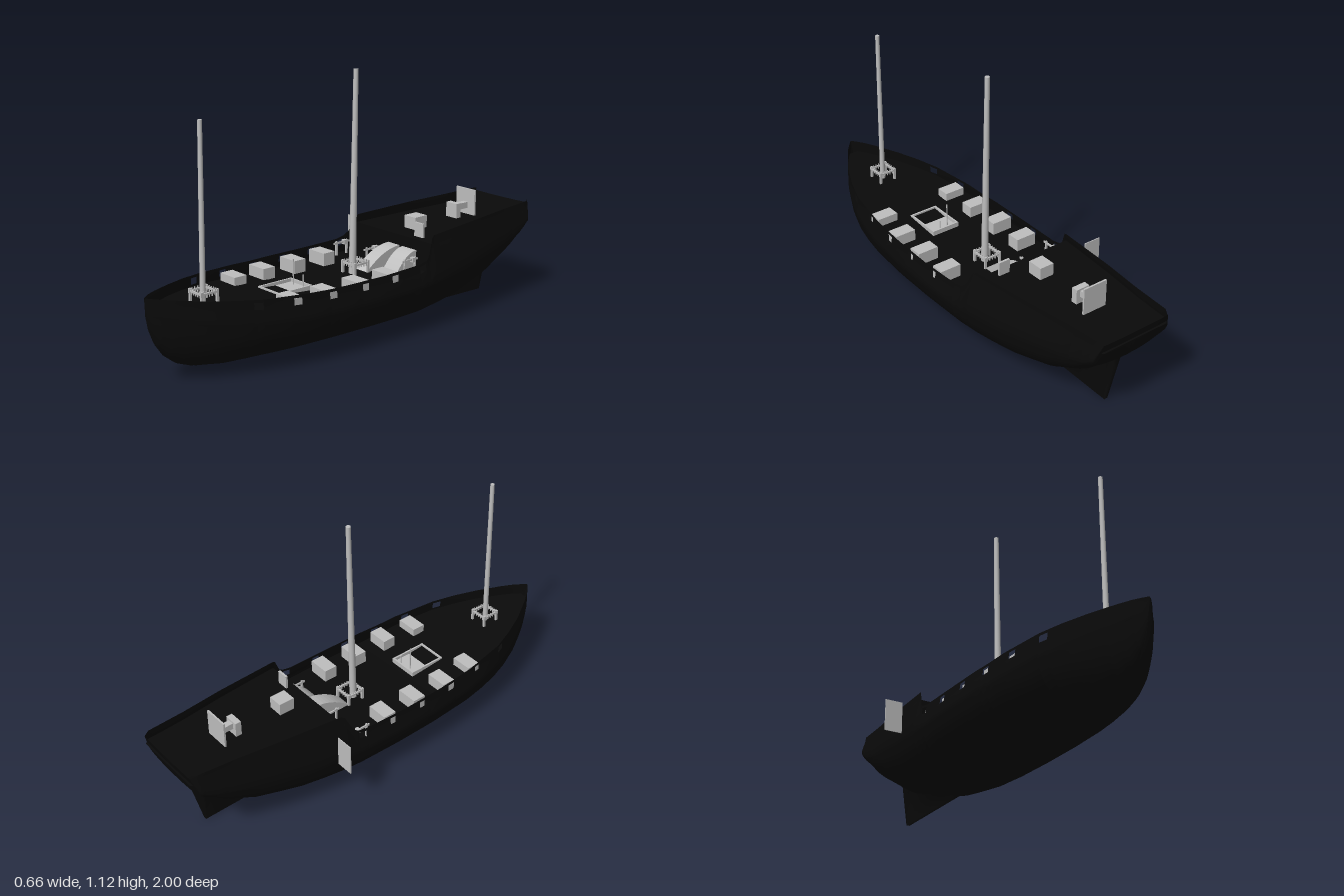
import * as THREE from 'three';

const black = new THREE.MeshStandardMaterial({ color: 0x0a0a0a, side: THREE.DoubleSide });
black.name = 'hull black';
const grey = new THREE.MeshStandardMaterial({ color: 0xbfbfbf, side: THREE.DoubleSide });
grey.name = 'fitting grey';

const CX = 0.04; // centreline of the ship

// Linear lookup in a list of [z, value] pairs with rising z
function at(table, z) {
  for (let i = 1; i < table.length; i++) {
    const [z0, a] = table[i - 1], [z1, b] = table[i];
    if (z <= z1) return a + (b - a) * Math.max(0, (z - z0) / (z1 - z0));
  }
  return table[table.length - 1][1];
}

// Hull lines along z: keel, top of keel fin, widest height, half beam, sheer, half width at sheer
const KEEL = [[-1, 0.42], [-0.975, 0.315], [-0.955, 0.282], [-0.92, 0.26], [-0.855, 0], [0, 0.017], [0.7, 0.027],
  [0.8, 0.042], [0.87, 0.07], [0.92, 0.11], [0.955, 0.16], [0.98, 0.22], [0.993, 0.28], [1, 0.355]];
const FIN = [[-1, 0.42], [-0.975, 0.315], [-0.955, 0.283], [-0.92, 0.262], [-0.855, 0.19], [-0.7, 0.1], [-0.5, 0.045],
  [-0.3, 0.022], [0, 0.025], [0.7, 0.033], [0.8, 0.047], [0.87, 0.075], [0.92, 0.115], [0.955, 0.165],
  [0.98, 0.225], [0.993, 0.285], [1, 0.356]];
const WIDEST = [[-1, 0.424], [-0.975, 0.345], [-0.92, 0.31], [-0.8, 0.275], [-0.5, 0.225], [-0.2, 0.2], [0.4, 0.2],
  [0.7, 0.225], [0.9, 0.26], [0.98, 0.29], [1, 0.357]];
const BEAM = [[-1, 0.16], [-0.975, 0.187], [-0.9, 0.195], [-0.8, 0.207], [-0.6, 0.238], [-0.4, 0.264], [-0.2, 0.279],
  [0, 0.284], [0.2, 0.28], [0.4, 0.264], [0.5, 0.249], [0.6, 0.226], [0.7, 0.189], [0.8, 0.142], [0.9, 0.082],
  [0.95, 0.048], [0.98, 0.022], [1, 0.001]];
const SHEER = [[-1, 0.434], [-0.6, 0.422], [-0.31, 0.41], [-0.295, 0.4], [-0.265, 0.335], [-0.245, 0.318], [-0.2, 0.308],
  [0, 0.304], [0.3, 0.307], [0.6, 0.322], [0.8, 0.338], [1, 0.361]];
const TOP = [[-1, 0.155], [-0.975, 0.172], [-0.8, 0.186], [-0.6, 0.21], [-0.31, 0.236], [-0.25, 0.262], [0, 0.268],
  [0.2, 0.265], [0.4, 0.252], [0.6, 0.22], [0.7, 0.185], [0.8, 0.14], [0.9, 0.081], [0.95, 0.047], [0.98, 0.021], [1, 0.001]];

const PORTS = [0.62, 0.45, 0.28, 0.11, -0.055, -0.22];
const BREAK = -0.305; // step between main deck and quarterdeck
const PORT_ROW = 12;

// Half cross-section from keel to sheer
function halfSection(z) {
  const [k, f, yb, b, ys, w] = [KEEL, FIN, WIDEST, BEAM, SHEER, TOP].map(t => at(t, z));
  const kw = Math.min(0.008, b), pts = [[kw, k], [kw, f]];
  for (let i = 1; i <= 8; i++) {
    const a = i / 8 * Math.PI / 2;
    pts.push([kw + (b - kw) * Math.pow(Math.sin(a), 0.95), f + (yb - f) * (1 - Math.cos(a))]);
  }
  const wale = Math.min(0.003, b * 0.05);
  const side = y => [b + (w - b) * (y - yb) / Math.max(ys - yb, 1e-4), y];
  const up = d => Math.max(yb, ys - d);
  pts.push([b + wale, yb + (up(0.04) - yb) * 0.05], [b + wale, yb + (up(0.04) - yb) * 0.4]);
  pts.push(side(up(0.04)), side(up(0.012)), side(ys));
  return pts;
}

// Surface through rows of points; skip(i, j) leaves a cell open
function loft(rows, skip = () => false) {
  const n = rows[0].length, idx = [];
  for (let i = 0; i < rows.length - 1; i++) for (let j = 0; j < n - 1; j++) {
    if (skip(i, j)) continue;
    const a = i * n + j, c = a + n;
    idx.push(a, a + 1, c, a + 1, c + 1, c);
  }
  const g = new THREE.BufferGeometry();
  g.setAttribute('position', new THREE.Float32BufferAttribute(rows.flat(2), 3));
  g.setIndex(idx);
  g.computeVertexNormals();
  return g;
}

function deckRow(z, y) {
  const yb = at(WIDEST, z), ys = at(SHEER, z), b = at(BEAM, z);
  const t = Math.min(1, Math.max(0, (y - yb) / (ys - yb)));
  const w = b + (at(TOP, z) - b) * t - 0.0005;
  return [[-w, y, z], [w, y, z]];
}
const mainDeckY = z => z > 0.2 ? 0.24 + (z - 0.2) * 0.085 : 0.24;

export function createModel() {
  const ship = new THREE.Group();
  ship.name = 'ship';
  const add = (name, geo, mat = grey, x = 0, y = 0, z = 0) => {
    const m = new THREE.Mesh(geo, mat);
    m.name = name;
    m.position.set(x, y, z);
    ship.add(m);
    return m;
  };
  // Box given by its limits; x is measured from the centreline
  const box = (name, x0, x1, y0, y1, z0, z1, mat = grey) =>
    add(name, new THREE.BoxGeometry(x1 - x0, y1 - y0, z1 - z0), mat, (x0 + x1) / 2, (y0 + y1) / 2, (z0 + z1) / 2);

  // Hull with open gun ports
  const zs = new Set([KEEL, BEAM, SHEER].flatMap(t => t.map(p => p[0])));
  for (let z = -0.95; z < 0.96; z += 0.05) zs.add(+z.toFixed(3));
  const inPort = z => PORTS.some(c => Math.abs(z - c) < 0.0175);
  const stations = [...zs].filter(z => !inPort(z));
  PORTS.forEach(c => stations.push(c - 0.018, c + 0.018));
  stations.sort((a, b) => a - b);
  const rows = stations.map(z => {
    const h = halfSection(z);
    return [...h.map(([x, y]) => [-x, y, z]).reverse(), ...h.map(([x, y]) => [x, y, z])];
  });
  const half = rows[0].length / 2;
  add('hull', loft(rows, (i, j) =>
    inPort((stations[i] + stations[i + 1]) / 2) && (j === half + PORT_ROW || j === half - 2 - PORT_ROW)), black);

  // Decks and the bulkhead between them
  const main = stations.filter(z => z > BREAK && z < 0.985);
  add('mainDeck', loft([BREAK, ...main].map(z => deckRow(z, mainDeckY(z)))), black);
  const quarterY = z => Math.min(at(SHEER, z) - 0.002, 0.372 - (z + 0.3) * 0.02);
  const aft = stations.filter(z => z < BREAK);
  add('quarterDeck', loft([...aft, BREAK].map(z => deckRow(z, quarterY(z)))), black);
  add('bulkhead', loft([deckRow(BREAK, mainDeckY(BREAK)), deckRow(BREAK, quarterY(BREAK))]), black);

  // Masts, raked slightly aft
  const mast = (name, z0, z1, y0, y1, r0, r1) => {
    const m = add(name, new THREE.CylinderGeometry(r1, r0, y1 - y0, 16), grey, 0, (y0 + y1) / 2, (z0 + z1) / 2);
    m.rotation.x = Math.atan2(z1 - z0, y1 - y0);
  };
  mast('foreMast', 0.73, 0.724, 0.27, 1.01, 0.012, 0.0095);
  mast('mainMast', -0.058, -0.075, 0.235, 1.12, 0.016, 0.0105);

  // Square pin rails around the masts
  for (const z of [0.725, -0.075]) {
    const y = mainDeckY(z), t = y + 0.05;
    for (const s of [-1, 1]) {
      box('pinRailSide', s * 0.038 - 0.004, s * 0.038 + 0.004, t - 0.008, t, z - 0.042, z + 0.042);
      box('pinRailEnd', -0.042, 0.042, t - 0.008, t, z + s * 0.038 - 0.004, z + s * 0.038 + 0.004);
      for (const q of [-1, 1])
        box('pinRailPost', s * 0.038 - 0.005, s * 0.038 + 0.005, y, t + 0.006, z + q * 0.038 - 0.005, z + q * 0.038 + 0.005);
      for (let i = -2; i <= 2; i++) {
        const p = i * 0.014;
        box('pin', s * 0.038 - 0.002, s * 0.038 + 0.002, t - 0.018, t + 0.008, z + p - 0.002, z + p + 0.002);
        box('pin', p - 0.002, p + 0.002, t - 0.018, t + 0.008, z + s * 0.038 - 0.002, z + s * 0.038 + 0.002);
      }
    }
  }

  // Gun blocks along both sides
  for (const s of [-1, 1]) for (const [z, x] of [[0.44, 0.184], [0.277, 0.2], [0.107, 0.2], [-0.06, 0.202]])
    box('gunBlock', s * x - 0.049, s * x + 0.049, mainDeckY(z), 0.297, z - 0.031, z + 0.031);

  // Cargo hatch: cover, raised frame and two thin posts
  box('hatchCover', -0.066, 0.066, 0.238, 0.25, 0.228, 0.4);
  for (const s of [-1, 1]) {
    box('hatchSide', s * 0.064 - 0.004, s * 0.064 + 0.004, 0.238, 0.264, 0.226, 0.402);
    box('hatchEnd', -0.066, 0.066, 0.238, 0.264, 0.314 + s * 0.084 - 0.004, 0.314 + s * 0.084 + 0.004);
  }
  box('hatchPost', -0.026, -0.022, 0.24, 0.36, 0.248, 0.252);
  box('hatchPost', 0.022, 0.026, 0.24, 0.3, 0.235, 0.239);

  // Curved ramps up to the quarterdeck
  const ramp = (name, x0, x1, zLow, zHigh, top) => {
    const s = new THREE.Shape();
    s.moveTo(-zLow, 0.24);
    s.quadraticCurveTo(-zLow - (zHigh - zLow) * 0.5, top, -zHigh, top);
    s.lineTo(-zHigh, 0.24);
    const g = new THREE.ExtrudeGeometry(s, { depth: x1 - x0, bevelEnabled: false, curveSegments: 10 });
    g.rotateY(Math.PI / 2);
    add(name, g, grey, x0, 0, 0);
  };
  ramp('centreRamp', -0.035, 0.035, -0.11, -0.303, 0.325);
  ramp('sideRamp', 0.055, 0.14, -0.185, -0.303, 0.325);

  // Small deck stands near the break
  for (const [x, z] of [[-0.24, -0.21], [-0.08, -0.245], [0.16, -0.245]]) {
    box('standBar', x - 0.003, x + 0.003, 0.292, 0.3, z - 0.045, z + 0.045);
    for (const s of [-1, 1]) box('standPost', x - 0.004, x + 0.004, 0.24, 0.305, z + s * 0.03 - 0.004, z + s * 0.03 + 0.004);
    box('standHead', x - 0.01, x + 0.01, 0.285, 0.305, z - 0.025, z - 0.01);
  }

  // Quarterdeck fittings
  box('skylight', -0.034, 0.034, 0.372, 0.43, -0.472, -0.4);
  box('helmPanel', -0.057, 0.057, 0.377, 0.5, -0.764, -0.756);
  box('helmShaft', -0.014, 0.014, 0.41, 0.438, -0.757, -0.688);
  box('helmBox', -0.032, 0.032, 0.378, 0.446, -0.692, -0.664);
  box('deckPanel', 0.092, 0.145, 0.366, 0.435, -0.347, -0.337);
  box('sidePanel', -0.372, -0.292, 0.23, 0.37, -0.373, -0.369);

  ship.position.x = CX;
  const model = new THREE.Group();
  model.name = 'model';
  model.add(ship);
  return model;
}
